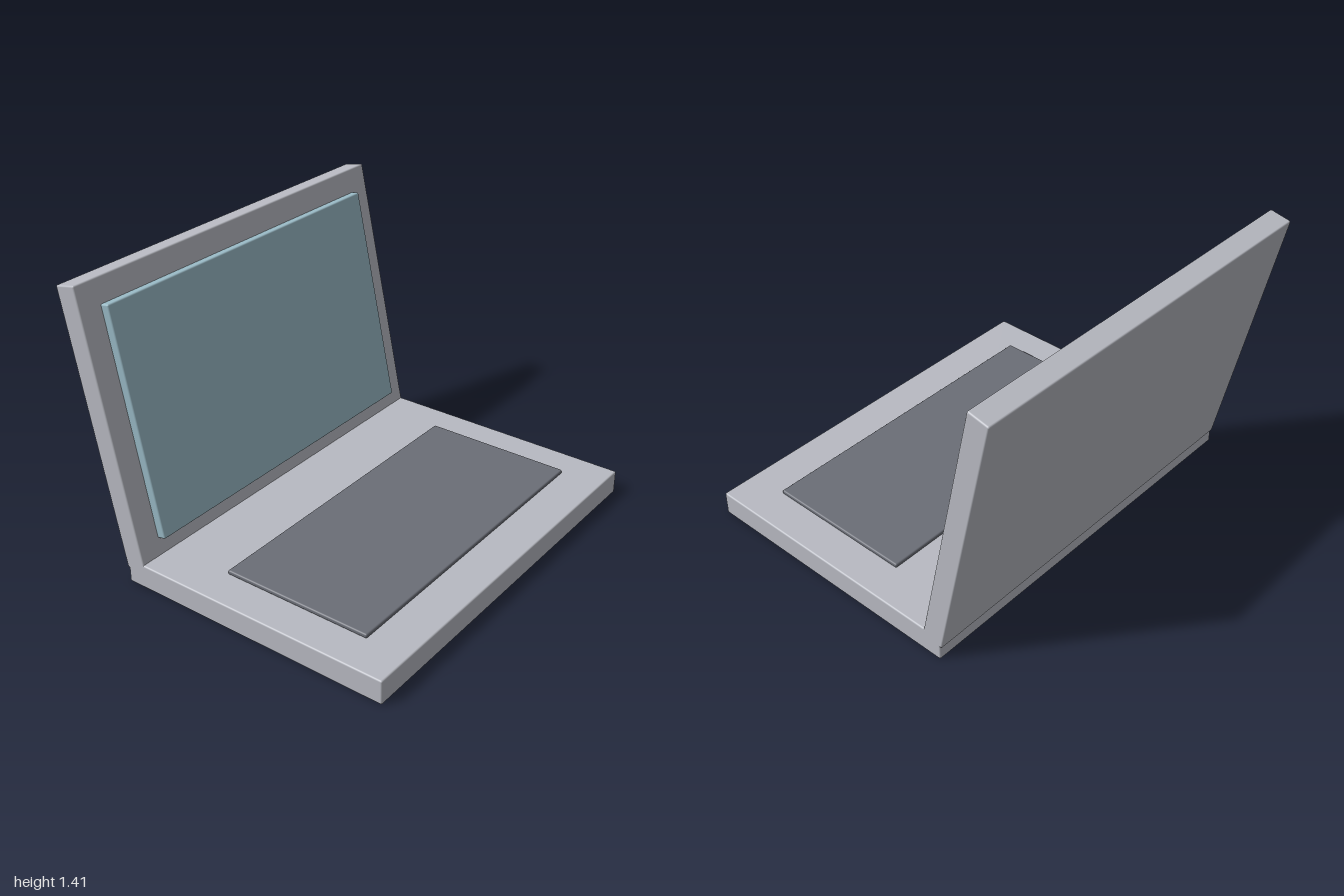
import * as THREE from 'three';
import { RoundedBoxGeometry } from 'three/addons/geometries/RoundedBoxGeometry.js';

const makeMaterial = (name, color) => {
  const material = new THREE.MeshStandardMaterial({ color });
  material.name = name;
  return material;
};

// Box with slightly softened edges
function addBox(parent, name, material, size, position, radius = 0.008) {
  const mesh = new THREE.Mesh(new RoundedBoxGeometry(...size, 3, radius), material);
  mesh.name = name;
  mesh.position.set(...position);
  parent.add(mesh);
  return mesh;
}

export function createModel() {
  const body = makeMaterial('silver grey', 0xb8bac2);
  const keys = makeMaterial('dark grey', 0x6b6e77);
  const glass = makeMaterial('pale blue', 0x99b9c5);

  const laptop = new THREE.Group();
  laptop.name = 'laptop';

  // Lower half with the raised keyboard slab
  addBox(laptop, 'base', body, [2, 0.12, 1.41], [0, 0.06, 0.143]);
  addBox(laptop, 'keyboard', keys, [1.64, 0.022, 0.764], [0, 0.13, 0.258]);

  // Lid leaning back, with the screen standing proud of its front
  const lid = new THREE.Group();
  lid.name = 'lid';
  lid.position.set(0, 0.7385, -0.654);
  lid.rotation.x = -0.207;
  laptop.add(lid);
  addBox(lid, 'lidPanel', body, [2, 1.343, 0.11], [0, 0, 0]);
  addBox(lid, 'screen', glass, [1.76, 1.115, 0.05], [0, -0.006, 0.072]);

  return laptop;
}
